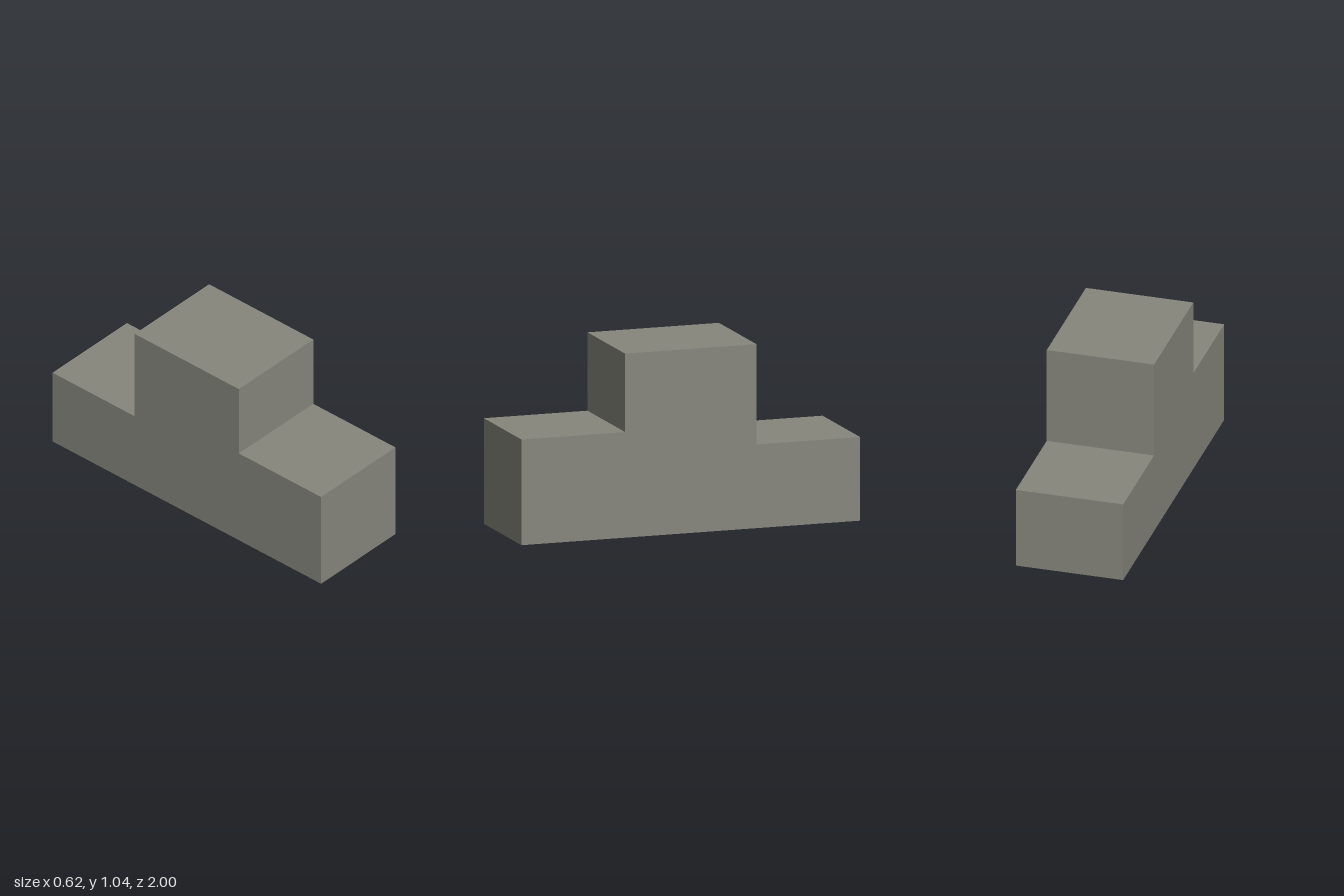
import * as THREE from 'three';

export function createModel() {
  const group = new THREE.Group();
  group.name = 'steppedBlock';

  const stone = new THREE.MeshStandardMaterial({ color: 0x86867c });
  stone.name = 'stone grey';

  // Side outline as [z, y]: high front step, tall middle, low back step
  const outline = [
    [-1, 0], [1, 0], [1, 0.6], [0.388, 0.6],
    [0.388, 1.045], [-0.388, 1.045], [-0.388, 0.475], [-1, 0.475],
  ];
  const shape = new THREE.Shape(outline.map(([z, y]) => new THREE.Vector2(z, y)));

  // Extrude across the width, then turn so the outline runs along z
  const width = 0.622;
  const geometry = new THREE.ExtrudeGeometry(shape, { depth: width, bevelEnabled: false });
  geometry.translate(0, 0, -width / 2).rotateY(-Math.PI / 2);

  const body = new THREE.Mesh(geometry, stone);
  body.name = 'body';
  group.add(body);
  return group;
}
